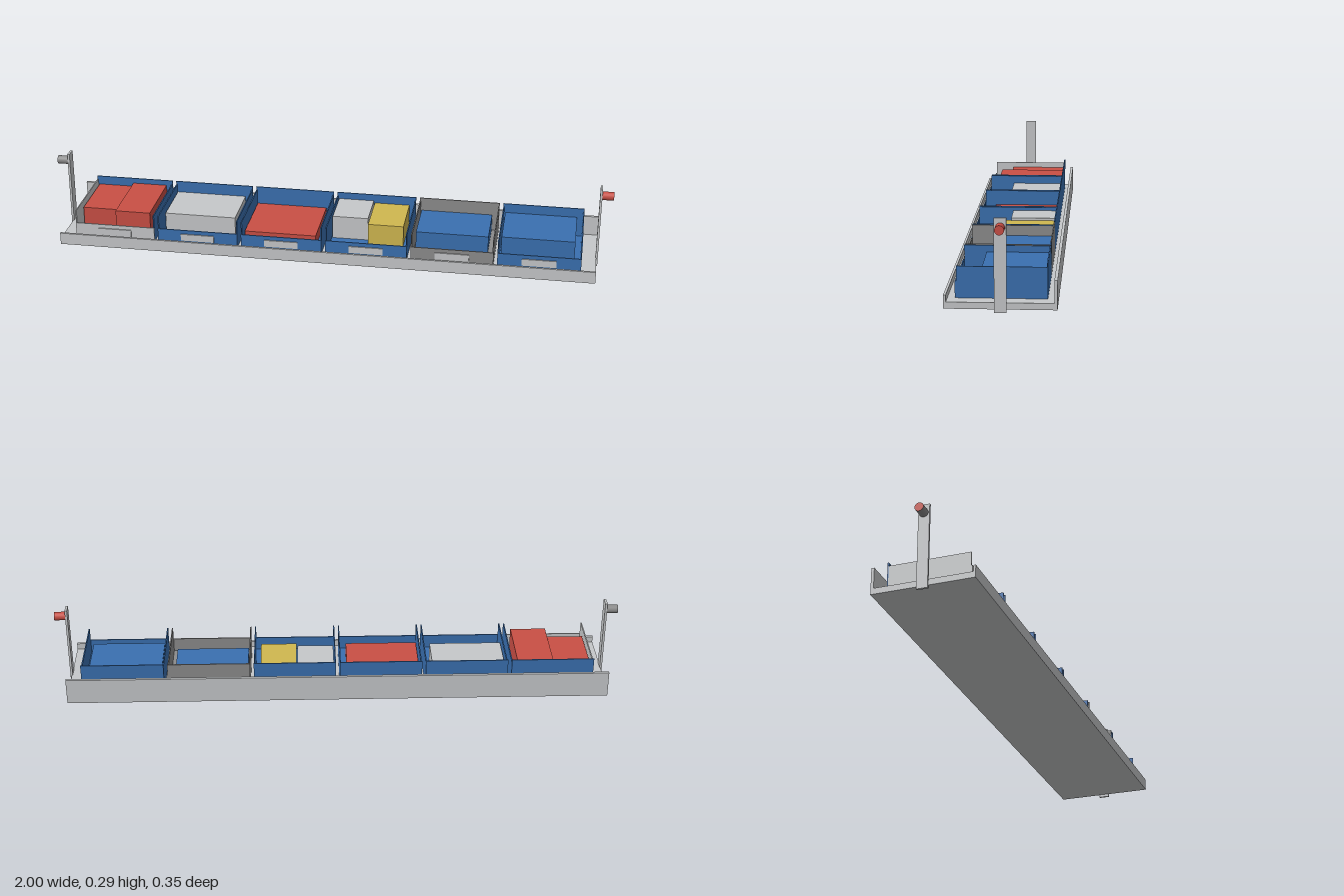
import * as THREE from 'three';

const paint = (name, color) => {
  const m = new THREE.MeshStandardMaterial({ color });
  m.name = name;
  return m;
};

export function createModel() {
  const blue = paint('blue', 0x3a70b0);
  const red = paint('red', 0xc94f45);
  const lightGrey = paint('light grey', 0xc6c8ca);
  const grey = paint('grey', 0x8c8c8c);
  const yellow = paint('yellow', 0xd0b850);

  const model = new THREE.Group();
  model.name = 'binShelf';

  // Box given by its lower and upper corners
  const box = (parent, name, mat, x0, x1, y0, y1, z0, z1) => {
    const mesh = new THREE.Mesh(new THREE.BoxGeometry(x1 - x0, y1 - y0, z1 - z0), mat);
    mesh.position.set((x0 + x1) / 2, (y0 + y1) / 2, (z0 + z1) / 2);
    mesh.name = name;
    parent.add(mesh);
  };

  // Shelf tray with a low front lip and a taller back lip
  const tray = new THREE.Group();
  tray.name = 'tray';
  model.add(tray);
  box(tray, 'trayFloor', lightGrey, -0.955, 0.955, 0.01, 0.031, -0.174, 0.174);
  box(tray, 'frontLip', lightGrey, -0.955, 0.955, 0.031, 0.053, 0.166, 0.174);
  box(tray, 'backLip', lightGrey, -0.955, 0.955, 0.031, 0.103, -0.174, -0.164);

  // End posts with a round peg pointing outwards
  for (const side of [-1, 1]) {
    const post = new THREE.Group();
    post.name = side > 0 ? 'leftPost' : 'rightPost';
    model.add(post);
    const a = side * 0.952, b = side * 0.96;
    box(post, 'postPlate', lightGrey, Math.min(a, b), Math.max(a, b), 0, 0.295, -0.019, 0.019);
    const sleeve = side > 0 ? red : grey;
    const peg = new THREE.Mesh(new THREE.CylinderGeometry(0.015, 0.015, 0.04, 24), [sleeve, red, red]);
    peg.rotation.z = -side * Math.PI / 2;
    peg.position.set(side * 0.98, 0.265, 0);
    peg.name = 'peg';
    post.add(peg);
  }

  // Contents of each bin: material, x from, x to, front z, top y
  const bins = [
    { main: blue, front: lightGrey, end: lightGrey,
      goods: [[red, -0.895, -0.768, 0.07, 0.112], [red, -0.764, -0.637, 0.107, 0.125]] },
    { main: blue, goods: [[lightGrey, -0.594, -0.337, 0.05, 0.102]] },
    { main: blue, goods: [[red, -0.291, -0.034, 0.1, 0.078]] },
    { main: blue, goods: [[lightGrey, 0.014, 0.142, 0.016, 0.12], [yellow, 0.146, 0.273, 0.045, 0.112]] },
    { main: grey, goods: [[blue, 0.318, 0.575, 0.045, 0.096]] },
    { main: blue, goods: [[blue, 0.622, 0.879, 0.066, 0.11]] },
  ];

  bins.forEach(({ main, front = main, end = main, goods }, i) => {
    const bin = new THREE.Group();
    bin.name = 'bin' + (i + 1);
    model.add(bin);
    const c = (i - 2.5) * 0.3035, w = 0.145, t = 0.004;
    box(bin, 'binFloor', main, c - w, c + w, 0.031, 0.035, -0.139, 0.139);
    box(bin, 'binBack', main, c - w, c + w, 0.031, 0.143, -0.143, -0.139);
    box(bin, 'binFront', front, c - w, c + w, 0.031, 0.084, 0.139, 0.143);
    box(bin, 'binRightWall', end, c - w, c - w + t, 0.031, 0.131, -0.139, 0.139);
    box(bin, 'binLeftWall', main, c + w - t, c + w, 0.031, 0.131, -0.139, 0.139);
    box(bin, 'labelHolder', lightGrey, c - 0.06, c + 0.06, 0.045, 0.07, 0.143, 0.147);
    for (const [mat, x0, x1, z1, top] of goods) {
      box(bin, 'carton', mat, x0, x1, 0.035, top, -0.136, z1);
    }
  });

  return model;
}
